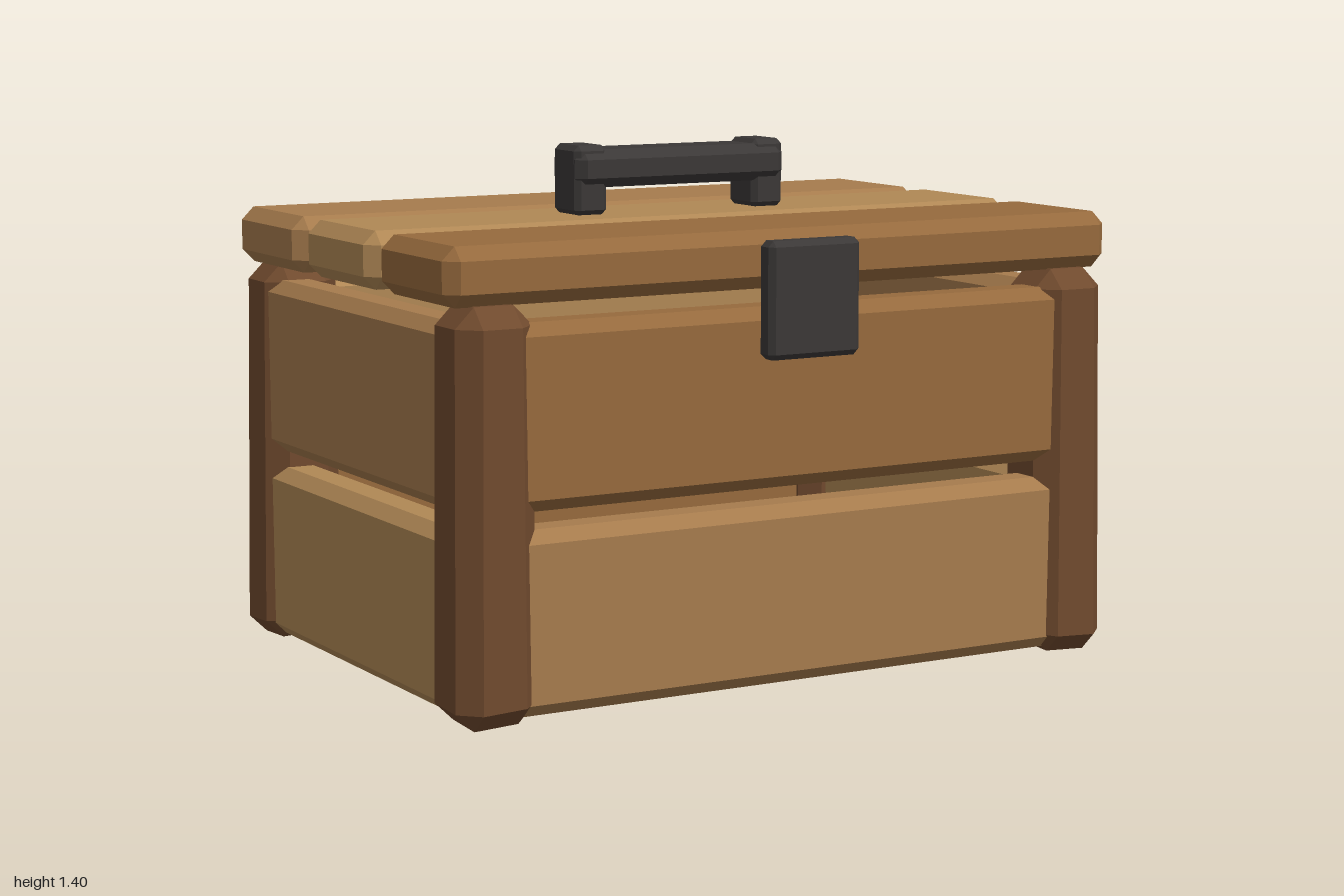
import * as THREE from 'three';
import { ConvexGeometry } from 'three/addons/geometries/ConvexGeometry.js';

const WOOD = { dark: 0x966a3d, mid: 0xa67b4d, light: 0xb08855, post: 0x704a2e };
const METAL = 0x3b3837;

// Box with chamfered edges spanning min..max; adjust may shift each corner point
function chamferBox(name, color, min, max, bevel, adjust) {
  const centre = min.map((v, i) => (v + max[i]) / 2);
  const half = min.map((v, i) => (max[i] - v) / 2);
  const points = [];
  for (const sx of [-1, 1]) for (const sy of [-1, 1]) for (const sz of [-1, 1]) {
    const sign = [sx, sy, sz];
    for (let face = 0; face < 3; face++) {
      const p = new THREE.Vector3(...sign.map((s, i) =>
        centre[i] + s * (half[i] - (i === face ? 0 : bevel))));
      if (adjust) adjust(p);
      points.push(p);
    }
  }
  const material = new THREE.MeshStandardMaterial({ color, flatShading: true });
  const mesh = new THREE.Mesh(new ConvexGeometry(points), material);
  mesh.name = name;
  return mesh;
}

export function createModel() {
  const model = new THREE.Group();
  model.name = 'woodenChest';
  const add = (...args) => model.add(chamferBox(...args));
  const midZ = -0.022;

  // Corner posts: outer faces lean in slightly, feet are lowest at the outer corner
  for (const sx of [-1, 1]) for (const sz of [-1, 1]) {
    const cx = sx * 0.876, cz = midZ + sz * 0.603, r = 0.113;
    add('cornerPost', WOOD.post, [cx - r, 0, cz - r], [cx + r, 1.06, cz + r], 0.052, (p) => {
      const outX = (p.x - cx) * sx, outZ = (p.z - cz) * sz;
      const t = p.y / 1.06;
      if (outX > 0) p.x -= sx * 0.014 * t;
      if (outZ > 0) p.z -= sz * 0.011 * t;
      if (t < 0.5) p.y += 0.05 * (0.122 - outX - outZ);
    });
  }

  // Two slats on each wall
  const rows = [
    { y0: 0.02, y1: 0.495, front: WOOD.mid, back: WOOD.dark, side: WOOD.light },
    { y0: 0.54, y1: 1.015, front: WOOD.dark, back: WOOD.light, side: WOOD.mid },
  ];
  for (const { y0, y1, front, back, side } of rows) {
    add('frontSlat', front, [-0.85, y0, 0.53], [0.85, y1, 0.67], 0.033);
    add('backSlat', back, [-0.85, y0, -0.714], [0.85, y1, -0.574], 0.033);
    add('leftSlat', side, [0.828, y0, -0.6], [0.968, y1, 0.556], 0.033);
    add('rightSlat', side, [-0.968, y0, -0.6], [-0.828, y1, 0.556], 0.033);
  }

  // Lid planks, front to back
  [[0.23, 0.648, WOOD.dark], [-0.231, 0.187, WOOD.light], [-0.692, -0.274, WOOD.mid]]
    .forEach(([z0, z1, color]) =>
      add('lidPlank', color, [-1, 1.058, z0], [1, 1.21, z1], 0.035));

  // Latch plate on the front
  add('latch', METAL, [-0.137, 0.885, 0.672], [0.137, 1.19, 0.737], 0.015);

  // Carrying handle: two uprights and a grip
  const handle = new THREE.Group();
  handle.name = 'handle';
  for (const s of [-1, 1]) {
    const cx = s * 0.277;
    handle.add(chamferBox('handleUpright', METAL,
      [cx - 0.049, 1.208, -0.091], [cx + 0.049, 1.397, 0.047], 0.015));
  }
  handle.add(chamferBox('handleGrip', METAL, [-0.325, 1.283, -0.107], [0.325, 1.385, 0.063], 0.026));
  model.add(handle);

  return model;
}
